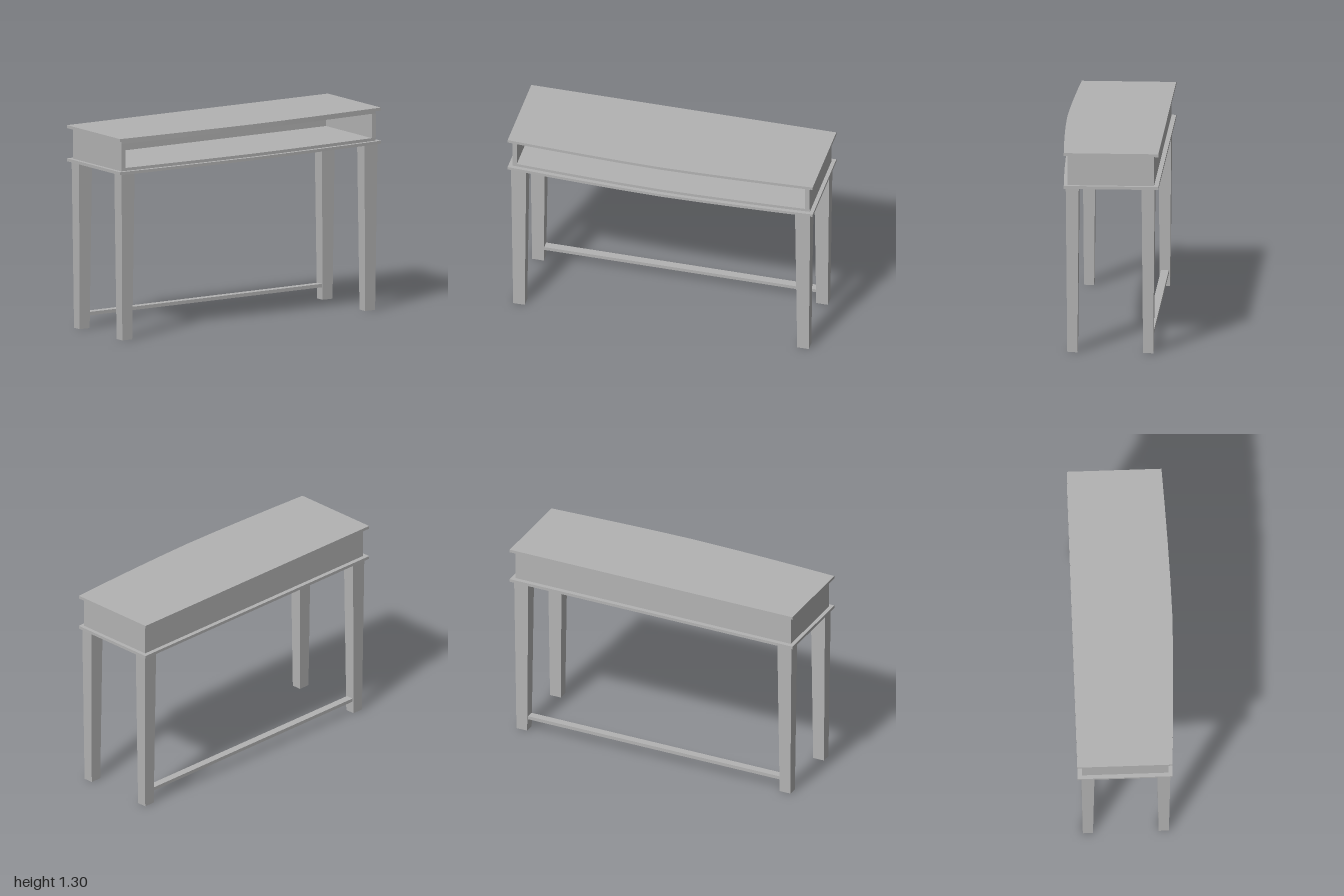
import * as THREE from 'three';

const paint = new THREE.MeshStandardMaterial({ color: 0xb3b3b3 });
paint.name = 'plain grey';

export function createModel() {
  const group = new THREE.Group();
  group.name = 'consoleTable';

  function add(name, geometry, x = 0, y = 0, z = 0) {
    const mesh = new THREE.Mesh(geometry, paint);
    mesh.name = name;
    mesh.position.set(x, y, z);
    group.add(mesh);
    return mesh;
  }

  // Box given by its limits on each axis
  function block(name, x0, x1, y0, y1, z0, z1) {
    const geometry = new THREE.BoxGeometry(x1 - x0, y1 - y0, z1 - z0);
    add(name, geometry, (x0 + x1) / 2, (y0 + y1) / 2, (z0 + z1) / 2);
  }

  // Horizontal board with a gently bowed front edge
  function bowedBoard(name, halfWidth, back, front, bow, y0, y1) {
    const shape = new THREE.Shape();
    shape.moveTo(-halfWidth, back);
    shape.lineTo(halfWidth, back);
    const steps = 8;
    for (let i = 0; i <= steps; i++) {
      const t = 1 - (2 * i) / steps;
      shape.lineTo(t * halfWidth, front + bow * (1 - Math.pow(Math.abs(t), 1.5)));
    }
    shape.closePath();
    const geometry = new THREE.ExtrudeGeometry(shape, { depth: y1 - y0, bevelEnabled: false });
    geometry.rotateX(Math.PI / 2);
    add(name, geometry, 0, y1, 0);
  }

  // Overhanging top and bottom boards
  bowedBoard('tableTop', 1, -0.317, 0.284, 0.035, 1.286, 1.305);
  bowedBoard('lowerBoard', 1, -0.317, 0.284, 0.035, 1.072, 1.091);

  // Open-fronted compartment between them
  bowedBoard('compartmentCeiling', 0.975, -0.288, 0.261, 0.033, 1.267, 1.286);
  bowedBoard('compartmentFloor', 0.975, -0.288, 0.261, 0.033, 1.091, 1.11);
  block('compartmentBack', -0.945, 0.945, 1.11, 1.267, -0.288, -0.258);
  for (const side of [-1, 1]) {
    const inner = side * 0.945, outer = side * 0.975;
    block('compartmentSide', Math.min(inner, outer), Math.max(inner, outer), 1.11, 1.267, -0.288, 0.262);
  }

  // Square legs tapering to the foot
  const height = 1.072;
  for (const x of [-0.931, 0.931]) {
    for (const [name, z] of [['frontLeg', 0.231], ['backLeg', -0.251]]) {
      const geometry = new THREE.BoxGeometry(0.1, height, 0.083);
      const p = geometry.attributes.position;
      for (let i = 0; i < p.count; i++) {
        if (p.getY(i) < 0) {
          p.setX(i, p.getX(i) * 0.76);
          p.setZ(i, p.getZ(i) * 0.78);
        }
      }
      geometry.computeVertexNormals();
      add(name, geometry, x, height / 2, z);
    }
  }

  // Low rail joining the back legs
  block('backRail', -0.9, 0.9, 0.08, 0.102, -0.276, -0.226);

  return group;
}
